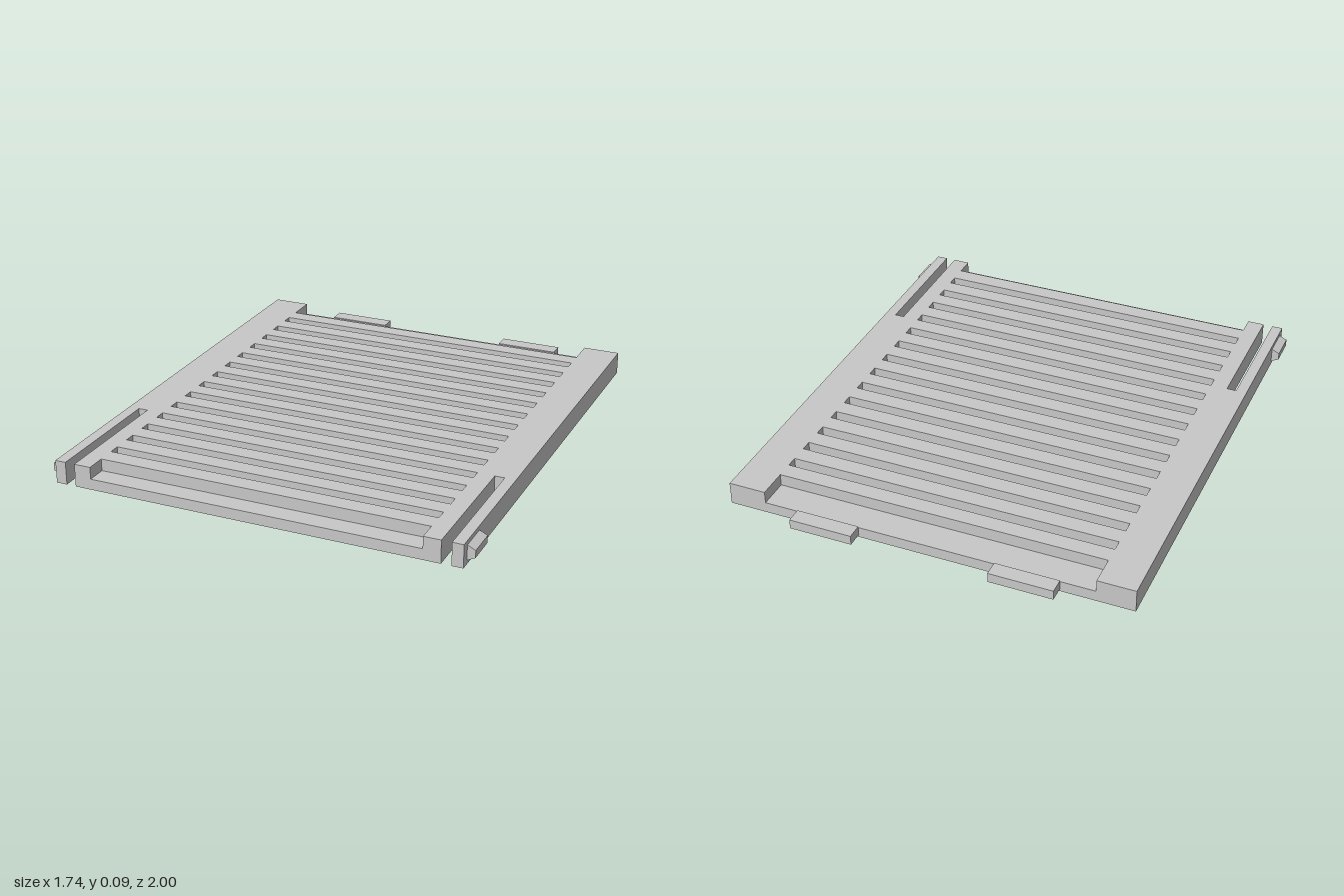
import * as THREE from 'three';

const BACK = -0.935, FRONT = 1, HALF = 0.84;
const FLOOR = 0.045, TOP = 0.095;      // floor of the slots, top of slats
const SLOT_X = 0.685, SLOT_H = 0.0235; // half length and half width of a slot
const VENT_Z = 0.0755, VENT_R = 0.593; // round area where the slots go right through

const points = (list) => list.map(([x, y]) => new THREE.Vector2(x, y));
const mirrored = (half) => [...half, ...half.map(([x, z]) => [-x, z]).reverse()];
const cut = (shape, half) => shape.holes.push(new THREE.Path(points(mirrored(half))));

// Extrude an (x, z) outline between two heights
function slab(shape, y0, y1) {
  const g = new THREE.ExtrudeGeometry(shape, { depth: y1 - y0, bevelEnabled: false });
  return g.rotateX(Math.PI / 2).translate(0, y1, 0);
}

export function createModel() {
  const group = new THREE.Group();
  const grey = new THREE.MeshStandardMaterial({ color: 0xc8c8c8 });
  grey.name = 'grey plastic';
  const add = (name, geometry) => {
    const mesh = new THREE.Mesh(geometry, grey);
    mesh.name = name;
    group.add(mesh);
    return mesh;
  };

  // Left edge of the plate, with the slit that frees the spring arm
  const edge = [[HALF, BACK], [HALF, FRONT], [0.795, FRONT], [0.795, 0.445], [0.755, 0.445], [0.755, FRONT]];
  const base = new THREE.Shape(points(mirrored(edge)));
  // The upper layer is open in a step at the front and back
  const upper = new THREE.Shape(points(mirrored([
    [SLOT_X, -0.81], [SLOT_X, BACK], ...edge, [SLOT_X, FRONT], [SLOT_X, 0.918],
  ])));

  // Slots: full length above, trimmed to the round vent below
  for (let i = 0; i < 14; i++) {
    const z = -0.717 + i * 0.1184;
    cut(upper, [[SLOT_X, z - SLOT_H], [SLOT_X, z + SLOT_H]]);
    if (Math.abs(z - VENT_Z) + SLOT_H > VENT_R) continue;
    const arc = [];
    for (let k = 0; k <= 4; k++) {
      const zk = z + SLOT_H * (k / 2 - 1);
      arc.push([Math.sqrt(VENT_R ** 2 - (zk - VENT_Z) ** 2), zk]);
    }
    cut(base, arc);
  }
  add('baseSheet', slab(base, 0, FLOOR));
  add('slattedLayer', slab(upper, FLOOR, TOP));

  for (const s of [1, -1]) {
    const side = s > 0 ? 'left' : 'right';
    // Hinge tab on the back edge
    add(side + 'BackTab', new THREE.BoxGeometry(0.262, 0.04, 0.065))
      .position.set(s * 0.413, 0.03, -0.9675);
    // Tapered catch on the outside of the spring arm
    const catchShape = new THREE.Shape(points([
      [s * HALF, 0.016], [s * 0.872, 0.032], [s * 0.872, 0.062], [s * HALF, 0.077],
    ]));
    add(side + 'Catch', new THREE.ExtrudeGeometry(catchShape, { depth: 0.123, bevelEnabled: false }))
      .position.z = 0.843;
  }
  return group;
}
